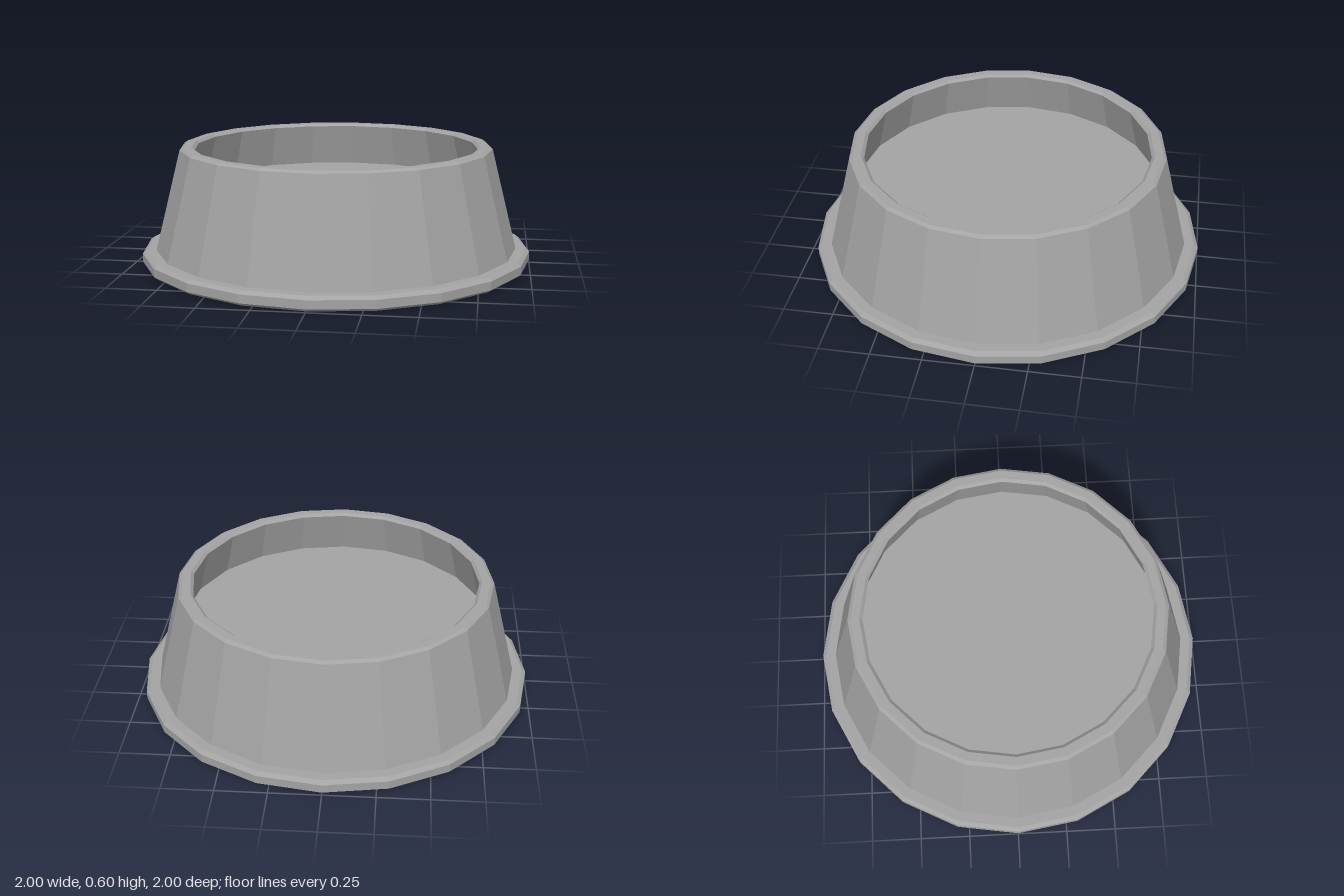
import * as THREE from 'three';

const SIDES = 20;

export function createModel() {
  const group = new THREE.Group();
  group.name = 'bowl';
  const grey = new THREE.MeshStandardMaterial({ color: 0xa3a3a3, flatShading: true });
  grey.name = 'grey';

  // Each part is a faceted ring turned from [radius, height] points
  const addTurned = (name, profile) => {
    const points = profile.map(([r, y]) => new THREE.Vector2(r, y));
    const mesh = new THREE.Mesh(new THREE.LatheGeometry(points, SIDES), grey);
    mesh.name = name;
    group.add(mesh);
  };

  // Flat underside and bevelled foot flange
  addTurned('baseFlange', [[0, 0], [0.98, 0], [1, 0.015], [1, 0.057], [0.98, 0.072], [0.93, 0.072]]);
  // Sloping outer wall
  addTurned('outerWall', [[0.93, 0.072], [0.8, 0.585]]);
  // Rim with a bevel on both edges
  addTurned('rim', [[0.8, 0.585], [0.783, 0.596], [0.74, 0.596], [0.725, 0.583]]);
  // Inside wall, flaring outward towards the floor, and the floor itself
  addTurned('innerWall', [[0.725, 0.583], [0.782, 0.36]]);
  addTurned('bowlFloor', [[0.782, 0.36], [0, 0.36]]);

  return group;
}
